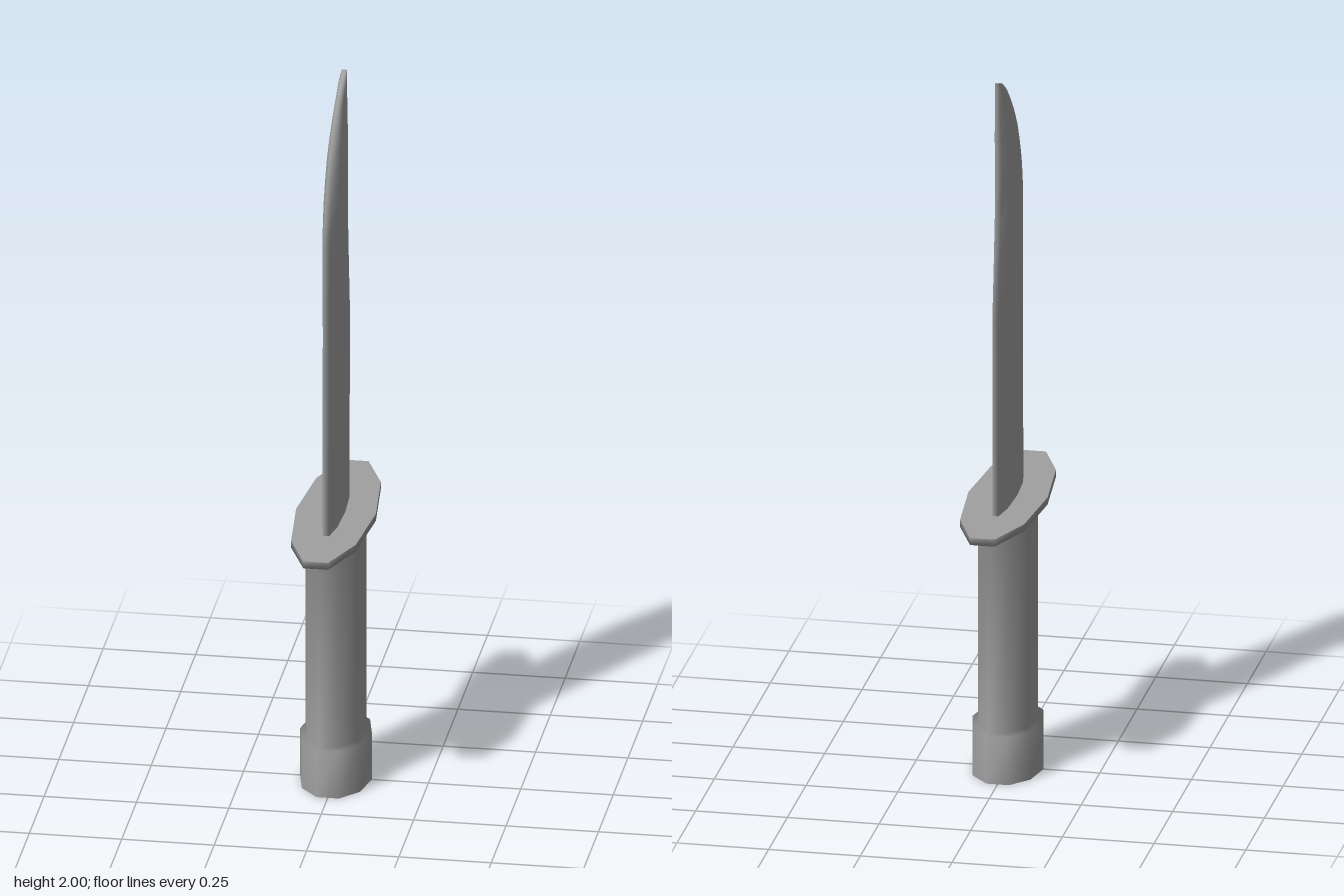
import * as THREE from 'three';
import { mergeGeometries } from 'three/addons/utils/BufferGeometryUtils.js';

const SIDES = 10;
const FLAT = Math.sin(Math.PI * 0.4); // depth of the flat ends of a ten-sided ring

function build(positions, index) {
  const geometry = new THREE.BufferGeometry();
  geometry.setAttribute('position', new THREE.Float32BufferAttribute(positions, 3));
  geometry.setIndex(index);
  geometry.computeVertexNormals();
  return geometry;
}

// Corners of a ten-sided oval ring
function ringPoints([y, front, back, half]) {
  const points = [];
  for (let i = 0; i < SIDES; i++) {
    const a = (i / SIDES) * Math.PI * 2;
    points.push(half * Math.cos(a), y, (front + back) / 2 + ((front - back) / 2 / FLAT) * Math.sin(a));
  }
  return points;
}

// Flat lid over one ring, with its own normals so the rim stays sharp
function cap(ring, up) {
  const index = [];
  for (let i = 1; i < SIDES - 1; i++) index.push(0, up ? i + 1 : i, up ? i : i + 1);
  return build(ringPoints(ring), index);
}

// Smooth wall through rings of [y, frontZ, backZ, halfThickness], closed by two lids
function loft(rings) {
  const index = [];
  for (let r = 0; r < rings.length - 1; r++) {
    for (let i = 0; i < SIDES; i++) {
      const a = r * SIDES + i;
      const b = r * SIDES + ((i + 1) % SIDES);
      index.push(a, a + SIDES, b, b, a + SIDES, b + SIDES);
    }
  }
  const wall = build(rings.flatMap(ringPoints), index);
  return mergeGeometries([wall, cap(rings[0], false), cap(rings.at(-1), true)]);
}

export function createModel() {
  const group = new THREE.Group();
  group.name = 'knife';
  const material = new THREE.MeshStandardMaterial({ color: 0xa0a0a0 });

  function add(name, rings) {
    const mesh = new THREE.Mesh(loft(rings), material);
    mesh.name = name;
    group.add(mesh);
  }

  // Hilt in one smooth piece: pommel, handle, then the wide guard
  add('hilt', [
    [0, 0.14, -0.14, 0.097],
    [0.137, 0.14, -0.14, 0.097],
    [0.143, 0.125, -0.125, 0.082],
    [0.755, 0.125, -0.125, 0.082],
    [0.755, 0.345, -0.345, 0.108],
    [0.775, 0.345, -0.345, 0.108],
  ]);

  // Blade: straight, then a curved cutting edge and a clipped, hollow back
  add('blade', [
    [0.77, 0.168, -0.168, 0.025],
    [1.33, 0.161, -0.172, 0.025],
    [1.47, 0.159, -0.15, 0.025],
    [1.6, 0.157, -0.132, 0.025],
    [1.65, 0.15, -0.127, 0.025],
    [1.71, 0.131, -0.123, 0.025],
    [1.77, 0.103, -0.123, 0.024],
    [1.82, 0.075, -0.125, 0.023],
    [1.87, 0.038, -0.129, 0.02],
    [1.91, 0, -0.133, 0.017],
    [1.945, -0.037, -0.137, 0.014],
    [1.97, -0.073, -0.14, 0.012],
    [1.988, -0.106, -0.143, 0.01],
    [2, -0.139, -0.146, 0.007],
  ]);

  return group;
}
